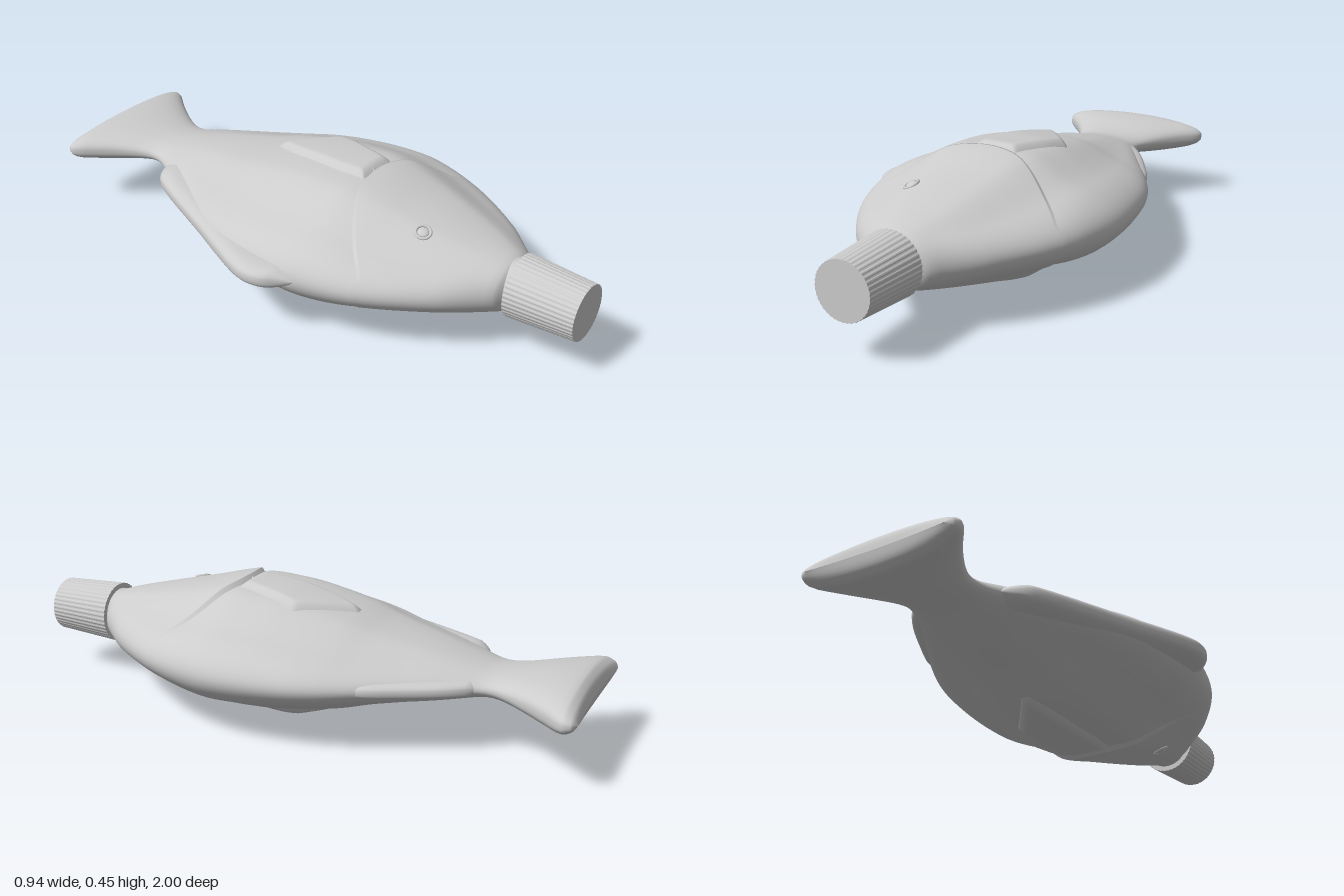
import * as THREE from 'three';

const CX = 0.03, CY = 0.222;
const grey = new THREE.MeshStandardMaterial({ color: 0xcccccc });
grey.name = 'plain grey';
const { smoothstep, mapLinear, clamp } = THREE.MathUtils;

// Smooth interpolation through [z, value] pairs, z descending
function curve(table) {
  const slope = (i) => {
    const a = table[Math.max(i - 1, 0)], b = table[Math.min(i + 1, table.length - 1)];
    return (b[1] - a[1]) / (b[0] - a[0]);
  };
  return (z) => {
    z = clamp(z, table[table.length - 1][0], table[0][0]);
    let i = 0;
    while (i < table.length - 2 && z < table[i + 1][0]) i++;
    const [z0, a] = table[i], [z1, b] = table[i + 1];
    const L = z1 - z0, t = (z - z0) / L, t2 = t * t, t3 = t2 * t;
    return (2 * t3 - 3 * t2 + 1) * a + (t3 - 2 * t2 + t) * L * slope(i)
      + (3 * t2 - 2 * t3) * b + (t3 - t2) * L * slope(i + 1);
  };
}

// Smooth surface from a rule; wrap closes it in the v direction
function grid(nu, nv, rule, wrap = false) {
  const pos = [], index = [], cols = wrap ? nv : nv + 1;
  for (let i = 0; i <= nu; i++) for (let j = 0; j < cols; j++) pos.push(...rule(i / nu, j / nv, i));
  for (let i = 0; i < nu; i++) for (let j = 0; j < nv; j++) {
    const a = i * cols + j, b = a + cols, c = i * cols + (j + 1) % cols, d = c + cols;
    index.push(a, b, c, b, d, c);
  }
  const g = new THREE.BufferGeometry();
  g.setAttribute('position', new THREE.Float32BufferAttribute(pos, 3));
  g.setIndex(index);
  g.computeVertexNormals();
  return g;
}

// Body outline along z: half width, half height, flank pinch and section roundness
const halfWidth = curve([[0.76, 0.08], [0.745, 0.115], [0.72, 0.14], [0.6, 0.25], [0.4, 0.372], [0.2, 0.43],
  [0.07, 0.437], [-0.1, 0.415], [-0.2, 0.385], [-0.3, 0.337], [-0.45, 0.25], [-0.6, 0.165], [-0.65, 0.138],
  [-0.7, 0.128], [-0.75, 0.143], [-0.83, 0.19], [-0.9, 0.242], [-0.945, 0.278], [-0.97, 0.285],
  [-0.99, 0.275], [-1, 0.25]]);
const halfHeight = curve([[0.76, 0.07], [0.74, 0.09], [0.6, 0.127], [0.4, 0.175], [0.22, 0.22], [0.1, 0.214],
  [0, 0.202], [-0.2, 0.16], [-0.3, 0.13], [-0.5, 0.085], [-0.66, 0.046], [-0.7, 0.044], [-0.75, 0.048],
  [-0.85, 0.062], [-0.92, 0.066], [-0.96, 0.063], [-0.975, 0.055], [-0.985, 0.046], [-0.995, 0.027], [-1, 0]]);
const pinch = curve([[0.76, 0], [0.5, 0.2], [0.3, 0.22], [-0.2, 0.22], [-0.4, 0.16], [-0.65, 0], [-1, 0]]);
const power = curve([[0.76, 1], [-0.6, 1], [-0.8, 0.8], [-1, 0.75]]);

const GILL = 0.21;
const gillArc = (d) => 1.6 * Math.min(Math.abs(d), 0.34) ** 2;

// Height of the skin above the middle plane, lowered behind the gill edge
function skin(d, z) {
  const q = Math.min(1, Math.abs(d) / halfWidth(z));
  const section = Math.sqrt(1 - q * q) ** power(z) * (1 - pinch(z) * smoothstep(q, 0.28, 0.72));
  const behind = GILL + gillArc(d) - z;
  const drop = behind > 0 ? 0.017 * Math.max(0, 1 - (d / 0.36) ** 2) * Math.exp(-behind / 0.25) : 0;
  return Math.max(0, halfHeight(z) * section - drop);
}

function bodyGeometry() {
  const rows = [0.214, 0.206, 0.75, -0.97, -0.985, -0.99, -0.994, -0.997, -0.999, -1];
  for (let k = 0; k <= 86; k++) rows.push(0.76 - k * 0.02);
  rows.sort((a, b) => b - a);
  return grid(rows.length - 1, 112, (u, v, i) => {
    const a = v * Math.PI * 2, c = Math.cos(a);
    // bend the rows so that they follow the gill arc
    const bend = rows[i] > 0.74 || rows[i] < -0.5 ? 0 : Math.exp(-(((rows[i] - GILL) / 0.25) ** 2));
    let z = rows[i], d = 0;
    for (let n = 0; n < 30; n++) {
      d = halfWidth(z) * c;
      z = rows[i] + bend * gillArc(d);
    }
    // the tail edge is slightly hollow in the middle
    const hollow = 0.01 * smoothstep(-z, 0.93, 1) * (1 - c * c);
    return [CX + d, CY + Math.sign(Math.sin(a)) * skin(halfWidth(z) * c, z), z + hollow];
  }, true);
}

// Raised side fin that follows the skin; side is 1 on top, -1 underneath
const finLow = curve([[0.21, -0.035], [0.08, -0.035], [-0.1, -0.005], [-0.21, 0.03]]);
const finHigh = (z) => (z > -0.03 ? mapLinear(z, 0.21, -0.03, 0.125, 0.197)
  : mapLinear(z, -0.03, -0.21, 0.197, 0.062));
function sideFinGeometry(side) {
  return grid(50, 32, (u, v) => {
    const z = 0.21 - 0.42 * u, lo = finLow(z), hi = finHigh(z);
    const x = lo + (hi - lo) * (side > 0 ? 1 - v : v);
    const edge = Math.min(hi - x, x - lo, 0.42 * u, 0.42 * (1 - u));
    const lift = -0.006 + 0.024 * Math.sqrt(smoothstep(edge, 0, 0.035));
    return [x, CY + side * (skin(x - CX, z) + lift), z];
  });
}

// Edge fin: rounded rib, thicker towards the body, whose rim follows the outline
function edgeFinGeometry(outline, thickness, dir) {
  const rim = curve(outline), z0 = outline[0][0], z1 = outline[outline.length - 1][0];
  const soft = (n) => Math.sign(n) * Math.abs(n) ** 0.7;
  return grid(50, 32, (u, v) => {
    const z = z0 + (z1 - z0) * u, a = v * Math.PI * 2, c = Math.cos(a);
    const wedge = 1 + 0.15 * (1 - dir * c);
    const h = thickness * wedge * Math.min(1, Math.sin(Math.PI * u) * 4) ** 0.5;
    return [rim(z) - dir * 0.07 + 0.07 * soft(c), CY + h * soft(Math.sin(a)), z];
  }, true);
}

// Ribbed, slightly tapered cap
function capGeometry() {
  const sides = 160;
  const g = new THREE.CylinderGeometry(0.094, 0.107, 0.235, sides, 1);
  const p = g.attributes.position;
  for (let i = 0; i < p.count; i++) {
    const x = p.getX(i), z = p.getZ(i);
    const step = Math.round(Math.atan2(z, x) / (Math.PI * 2) * sides) + sides;
    const k = step % 4 < 2 ? 1 : 0.985;
    p.setXYZ(i, x * k, p.getY(i), z * k);
  }
  const flat = g.toNonIndexed();
  flat.computeVertexNormals();
  return flat.rotateX(Math.PI / 2);
}

export function createModel() {
  const model = new THREE.Group();
  model.name = 'fishBottle';
  const add = (name, geometry, parent = model) => {
    const mesh = new THREE.Mesh(geometry, grey);
    mesh.name = name;
    parent.add(mesh);
    return mesh;
  };

  add('bodyAndTail', bodyGeometry());
  add('dorsalFin', edgeFinGeometry([[0.21, -0.395], [0.17, -0.425], [0.12, -0.46], [0.06, -0.47], [0, -0.457],
    [-0.1, -0.416], [-0.24, -0.353], [-0.4, -0.285], [-0.5, -0.24], [-0.56, -0.205], [-0.59, -0.165],
    [-0.61, -0.12]], 0.033, -1));
  add('analFin', edgeFinGeometry([[-0.29, 0.345], [-0.32, 0.352], [-0.36, 0.343], [-0.44, 0.303],
    [-0.55, 0.243], [-0.62, 0.195], [-0.65, 0.165], [-0.66, 0.14]], 0.026, 1));

  // Pairs on both flat sides
  for (const side of [1, -1]) {
    const label = side > 0 ? 'upper' : 'lower';
    add(label + 'SideFin', sideFinGeometry(side));

    const d = -0.12, z = 0.48, e = 0.01;
    const normal = new THREE.Vector3(
      -(skin(d + e, z) - skin(d - e, z)) / (2 * e), side, -(skin(d, z + e) - skin(d, z - e)) / (2 * e));
    const eye = new THREE.Group();
    eye.name = label + 'Eye';
    eye.position.set(CX + d, CY + side * skin(d, z), z);
    eye.quaternion.setFromUnitVectors(new THREE.Vector3(0, 0, 1), normal.normalize());
    add('eyeRim', new THREE.TorusGeometry(0.024, 0.005, 10, 32), eye);
    add('eyeball', new THREE.SphereGeometry(0.018, 24, 12).scale(1, 1, 0.35), eye);
    model.add(eye);
  }

  // Neck and cap
  add('neck', new THREE.CylinderGeometry(0.088, 0.088, 0.06, 48).rotateX(Math.PI / 2)).position.set(CX, CY, 0.75);
  add('cap', capGeometry()).position.set(CX, CY, 0.8825);
  return model;
}
